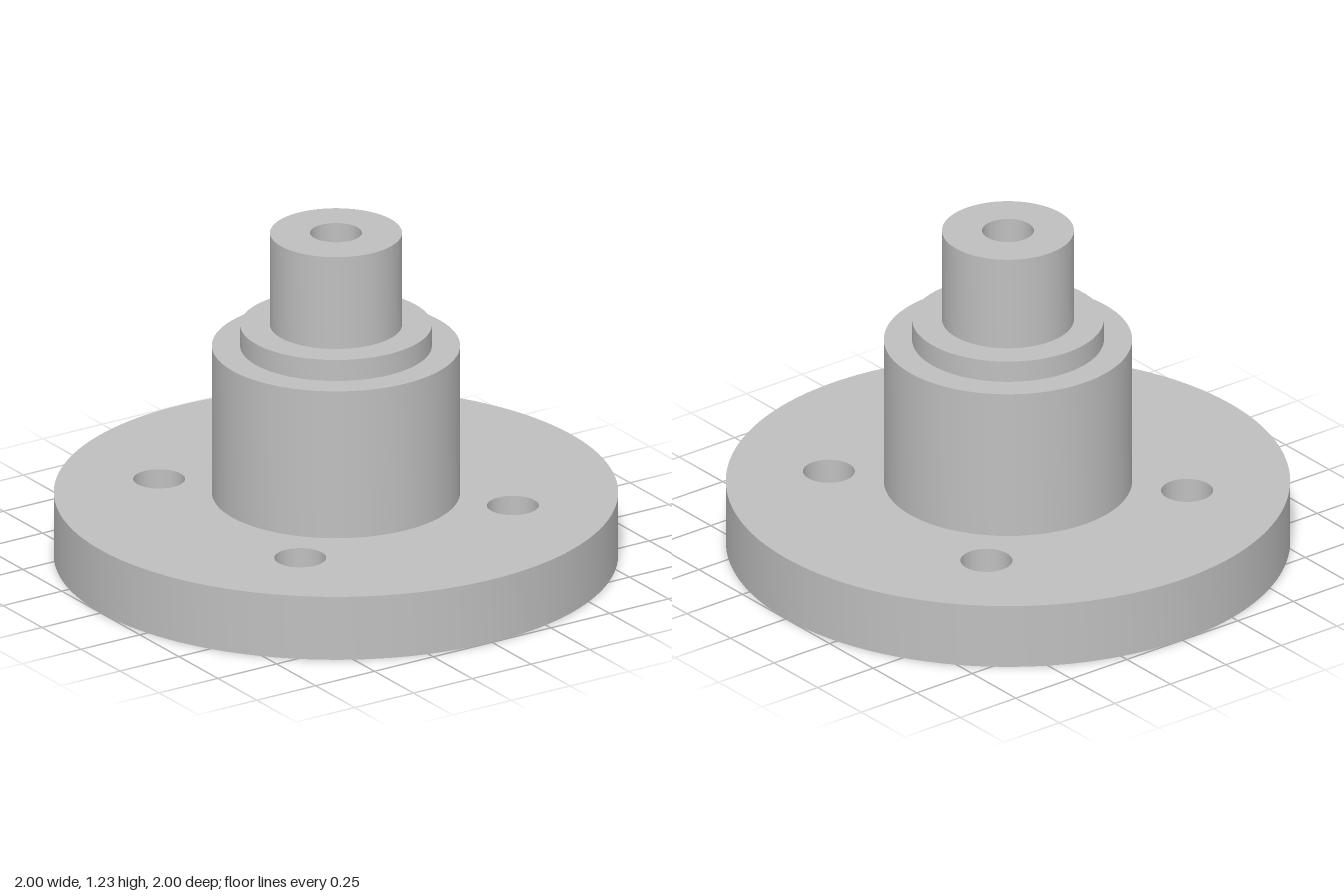
import * as THREE from 'three';
import { toCreasedNormals } from 'three/addons/utils/BufferGeometryUtils.js';

const FLANGE_HEIGHT = 0.24;
const HOLE_RADIUS = 0.092;
const BOLT_OFFSET = 0.452;
const CREASE = Math.PI / 6;

function circleHole(x, y) {
  return new THREE.Path().absarc(x, y, HOLE_RADIUS, 0, Math.PI * 2, true);
}

export function createModel() {
  const group = new THREE.Group();
  group.name = 'flangedHub';

  const steel = new THREE.MeshStandardMaterial({ color: 0xbfbfbf });
  steel.name = 'grey steel';

  // Round base plate with the central bore and four bolt holes
  const disc = new THREE.Shape().absarc(0, 0, 1, 0, Math.PI * 2, false);
  disc.holes.push(circleHole(0, 0));
  for (const sx of [-1, 1]) {
    for (const sy of [-1, 1]) disc.holes.push(circleHole(sx * BOLT_OFFSET, sy * BOLT_OFFSET));
  }
  const flangeGeometry = new THREE.ExtrudeGeometry(disc, {
    depth: FLANGE_HEIGHT, bevelEnabled: false, curveSegments: 96,
  });
  flangeGeometry.rotateX(-Math.PI / 2);
  const flange = new THREE.Mesh(toCreasedNormals(flangeGeometry, CREASE), steel);
  flange.name = 'flange';
  group.add(flange);

  // Stepped hub: body, shoulder and spigot, then down the inside of the bore
  const profile = [
    [0.44, FLANGE_HEIGHT], [0.44, 0.8],
    [0.34, 0.8], [0.34, 0.88],
    [0.234, 0.88], [0.234, 1.23],
    [HOLE_RADIUS, 1.23], [HOLE_RADIUS, FLANGE_HEIGHT],
  ].map(([r, y]) => new THREE.Vector2(r, y));
  const hubGeometry = new THREE.LatheGeometry(profile, 96);
  const hub = new THREE.Mesh(toCreasedNormals(hubGeometry, CREASE), steel);
  hub.name = 'steppedHub';
  group.add(hub);

  return group;
}
